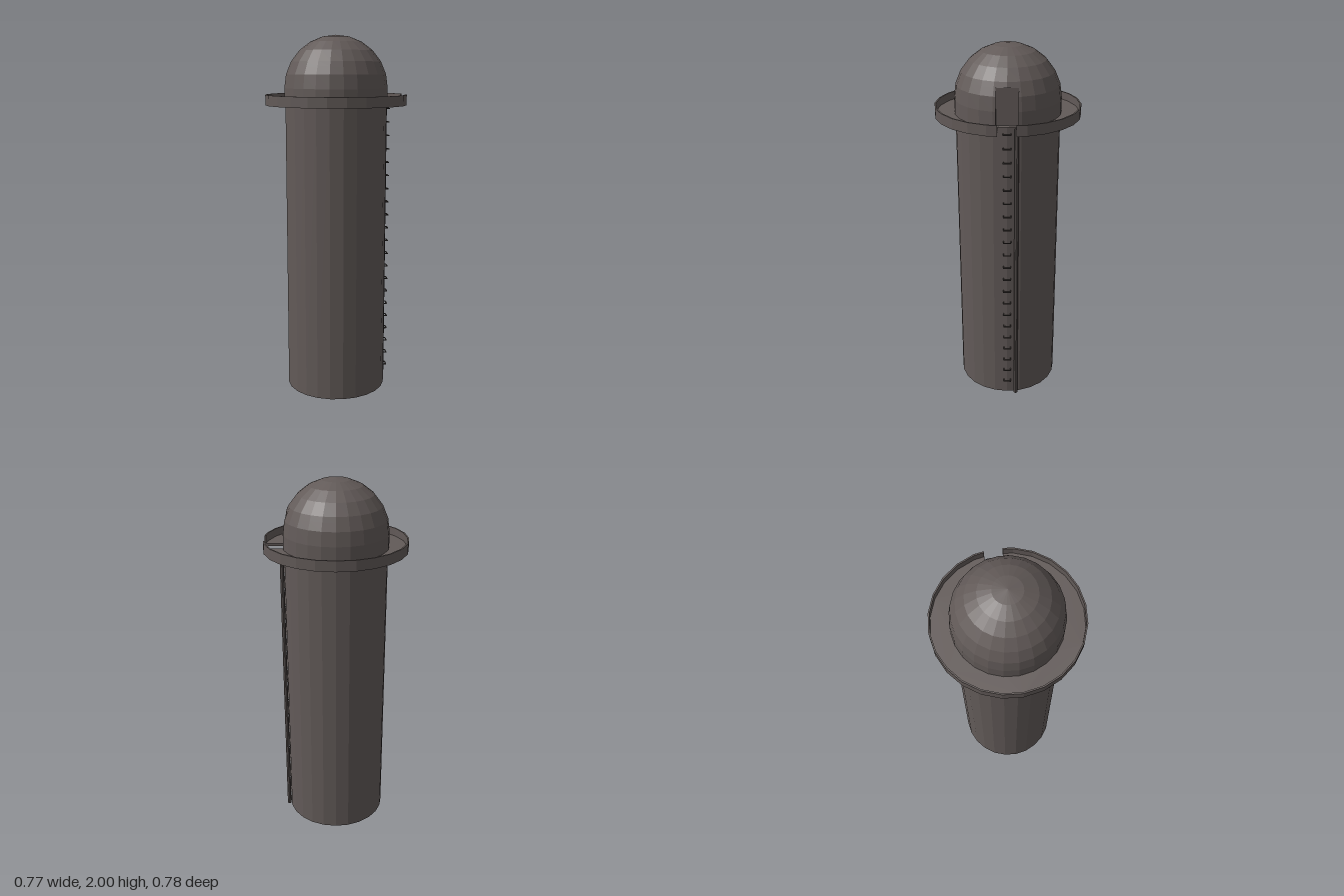
import * as THREE from 'three';

const SIDES = 24, STEP = Math.PI * 2 / SIDES;

const mat = (name, color, extra = {}) =>
  new THREE.MeshStandardMaterial({ name, color, flatShading: true, ...extra });

export function createModel() {
  const root = new THREE.Group();
  root.name = 'tower';
  const body = mat('warmGrey', 0x625a58, { side: THREE.DoubleSide });
  const under = mat('greenGrey', 0x5c605a);
  const brown = mat('undersideBrown', 0x5a4e38);
  const dark = mat('undersideDark', 0x403f3d);
  const metal = mat('darkMetal', 0x46403e);

  const add = (name, geo, material, parent = root) => {
    const m = new THREE.Mesh(geo, material);
    m.name = name;
    parent.add(m);
    return m;
  };

  // Shaft
  add('shaft', new THREE.CylinderGeometry(0.28, 0.28, 1.635, SIDES).translate(0, 0.8175, 0), [body, body, under]);

  // Plates set in the underside
  const plate = (name, x0, x1, z0, z1, m) =>
    add(name, new THREE.PlaneGeometry(x1 - x0, z1 - z0).rotateX(Math.PI / 2)
      .translate((x0 + x1) / 2, -0.001, (z0 + z1) / 2), m);
  plate('undersidePlate', -0.12, 0.175, -0.155, 0.04, brown);
  plate('undersideEndPlate', -0.235, -0.12, -0.145, 0.045, dark);

  // Gallery: a dish-shaped ring with a gap for the ladder
  const GAP = 0.048;
  const arc = (r) => {
    const t = GAP / (r * Math.sin(STEP));
    const x = r * (1 - (1 - Math.cos(STEP)) * t);
    const pts = [new THREE.Vector2(x, GAP)];
    for (let k = 1; k < SIDES; k++) {
      pts.push(new THREE.Vector2(r * Math.cos(k * STEP), r * Math.sin(k * STEP)));
    }
    pts.push(new THREE.Vector2(x, -GAP));
    return pts;
  };
  const ring = (outer, inner) => new THREE.Shape([...arc(outer), ...arc(inner).reverse()]);
  const raise = (shape, y, h) =>
    new THREE.ExtrudeGeometry(shape, { depth: h, bevelEnabled: false }).rotateX(-Math.PI / 2).translate(0, y, 0);
  add('galleryFloor', raise(ring(0.385, 0.275), 1.622, 0.014), body);
  add('galleryRim', raise(ring(0.39, 0.382), 1.622, 0.057), body);
  add('galleryUnderside', new THREE.ShapeGeometry(ring(0.39, 0.275)).rotateX(Math.PI / 2).translate(0, 1.621, 0), under);

  // Dome with a recessed doorway on +x
  const R = 0.285, CY = 1.715, DOOR = 0.057, DOOR_TOP = 1.83, BACK = 0.25;
  const at = (k) => new THREE.Vector2(R * Math.cos(k * Math.PI / 12), CY + R * Math.sin(k * Math.PI / 12));
  const a = at(1), b = at(2);
  const lintel = a.clone().lerp(b, (DOOR_TOP - a.y) / (b.y - a.y));
  const lower = [new THREE.Vector2(R, 1.635), at(0), a, lintel];
  const upper = [lintel, b, at(3), at(4), at(5), new THREE.Vector2(0, CY + R)];
  const dome = new THREE.Group();
  dome.name = 'dome';
  root.add(dome);
  add('domeTop', new THREE.LatheGeometry(upper, SIDES), body, dome);
  add('domeWall', new THREE.LatheGeometry(lower, SIDES - 2, Math.PI / 2 + STEP, Math.PI * 2 - 2 * STEP), body, dome);

  // Wall beside the doorway and its jamb, one cross-section per profile point
  for (const s of [1, -1]) {
    const pos = [], idx = [];
    lower.forEach(({ x: r, y }, i) => {
      const t = DOOR / (r * Math.sin(STEP));
      pos.push(r * Math.cos(STEP), y, s * r * Math.sin(STEP));
      pos.push(r * (1 - (1 - Math.cos(STEP)) * t), y, s * DOOR);
      pos.push(BACK, y, s * DOOR);
      if (i === 0) return;
      for (let c = 0; c < 2; c++) {
        const p = (i - 1) * 3 + c, q = p + 3;
        if (s > 0) idx.push(p, p + 1, q, p + 1, q + 1, q);
        else idx.push(p, q, p + 1, p + 1, q, q + 1);
      }
    });
    const g = new THREE.BufferGeometry();
    g.setAttribute('position', new THREE.Float32BufferAttribute(pos, 3));
    g.setIndex(idx);
    const flat = g.toNonIndexed();
    flat.computeVertexNormals();
    add(s > 0 ? 'leftDoorJamb' : 'rightDoorJamb', flat, body, dome);
  }
  const doorH = DOOR_TOP - 1.635;
  add('doorPanel', new THREE.PlaneGeometry(DOOR * 2, doorH).rotateY(Math.PI / 2)
    .translate(BACK, 1.635 + doorH / 2, 0), body, dome);
  add('doorCeiling', new THREE.PlaneGeometry(0.008, DOOR * 2).rotateX(Math.PI / 2)
    .translate(BACK + 0.004, DOOR_TOP, 0), body, dome);

  // Ladder of staple-shaped rungs
  const ladder = new THREE.Group();
  ladder.name = 'ladder';
  root.add(ladder);
  for (let i = 0; i < 21; i++) {
    const rung = new THREE.Group();
    rung.name = 'rung';
    rung.position.y = 0.085 + i * 0.0758;
    ladder.add(rung);
    add('rungBar', new THREE.BoxGeometry(0.005, 0.005, 0.044).translate(0.2985, 0, 0), metal, rung);
    for (const s of [1, -1]) {
      add('rungArm', new THREE.BoxGeometry(0.026, 0.005, 0.005).translate(0.285, 0, s * 0.0195), metal, rung);
    }
  }

  // Conduit beside the ladder
  add('conduit', new THREE.CylinderGeometry(0.011, 0.011, 1.63, 8).translate(0.288, 0.815, -0.049), body);

  return root;
}
